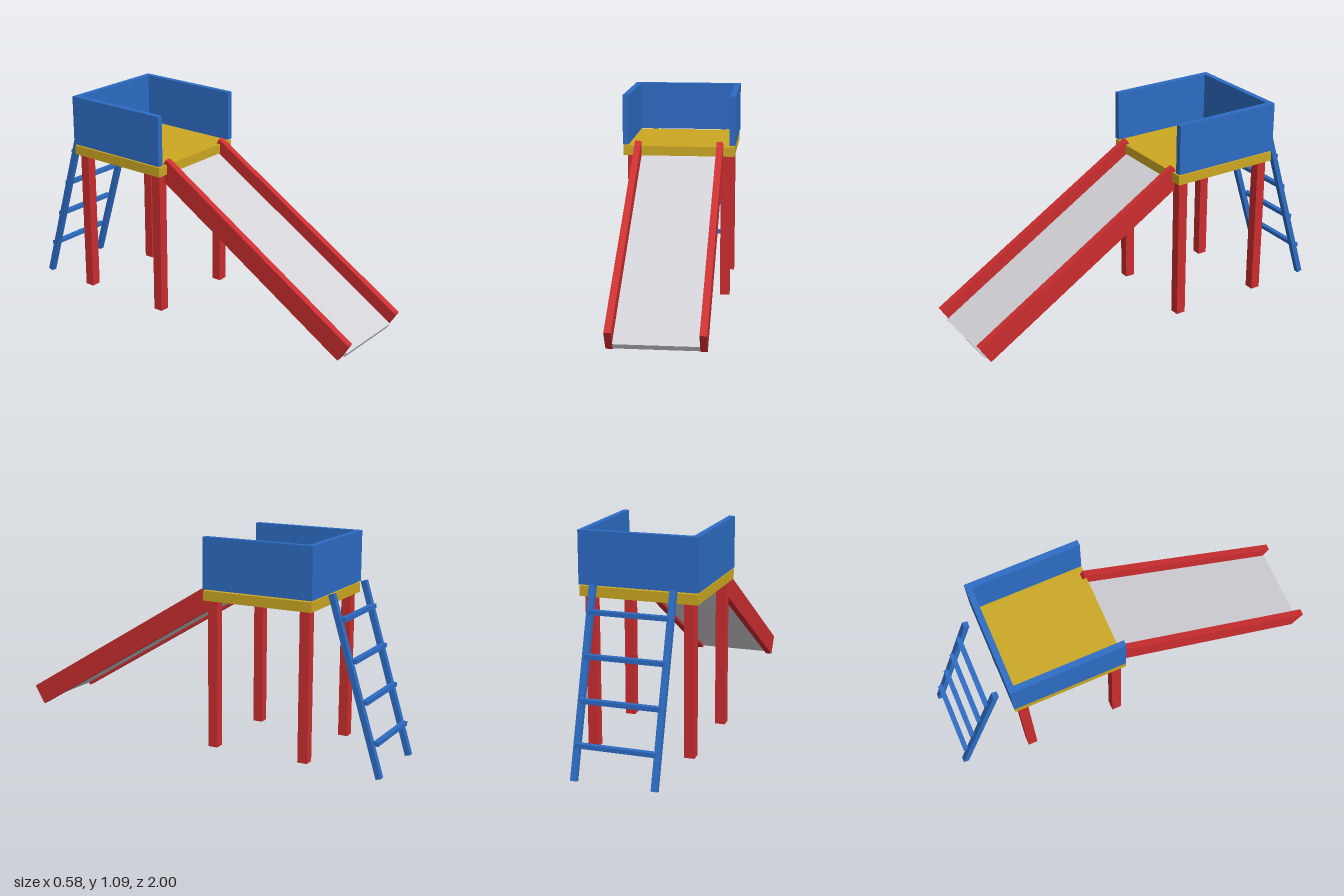
import * as THREE from 'three';

const material = (name, color) => {
  const m = new THREE.MeshStandardMaterial({ color });
  m.name = name;
  return m;
};

export function createModel() {
  const blue = material('blue', 0x2d6cc4);
  const red = material('red', 0xcb2d2f);
  const yellow = material('yellow', 0xcca822);
  const grey = material('light grey', 0xd2d1d7);

  const model = new THREE.Group();
  model.name = 'playgroundSlide';

  const group = (name, y, z, tilt) => {
    const g = new THREE.Group();
    g.name = name;
    g.position.set(0, y, z);
    g.rotation.x = THREE.MathUtils.degToRad(tilt);
    model.add(g);
    return g;
  };
  const box = (parent, name, mat, size, pos) => {
    const mesh = new THREE.Mesh(new THREE.BoxGeometry(...size), mat);
    mesh.name = name;
    mesh.position.set(...pos);
    parent.add(mesh);
  };

  // Platform with a wall on three sides, open to the front
  box(model, 'deck', yellow, [0.574, 0.049, 0.574], [0, 0.805, -0.375]);
  box(model, 'backWall', blue, [0.58, 0.255, 0.03], [0, 0.964, -0.65]);
  for (const s of [-1, 1]) {
    box(model, 'sideWall', blue, [0.03, 0.255, 0.547], [s * 0.275, 0.964, -0.3615]);
    for (const z of [-0.129, -0.619]) {
      box(model, 'leg', red, [0.05, 0.742, 0.05], [s * 0.241, 0.41, z]);
    }
  }

  // Sloping slide: bed between two side rails
  const slide = group('slide', 0.475, 0.424, 31.4);
  box(slide, 'slideBed', grey, [0.388, 0.029, 1.26], [0, -0.0245, 0.02]);
  for (const s of [-1, 1]) {
    box(slide, 'slideRail', red, [0.033, 0.108, 1.282], [s * 0.211, 0, 0]);
  }

  // Leaning ladder behind the platform
  const ladder = group('ladder', 0.432, -0.854, 17.06);
  for (const s of [-1, 1]) {
    box(ladder, 'ladderRail', blue, [0.029, 0.894, 0.028], [s * 0.193, 0, 0]);
  }

  // Level rungs fixed to the rear of the ladder rails
  for (let i = 0; i < 4; i++) {
    box(model, 'rung', blue, [0.38, 0.021, 0.026], [0, 0.168 + i * 0.191, -0.96 + i * 0.0605]);
  }

  return model;
}
